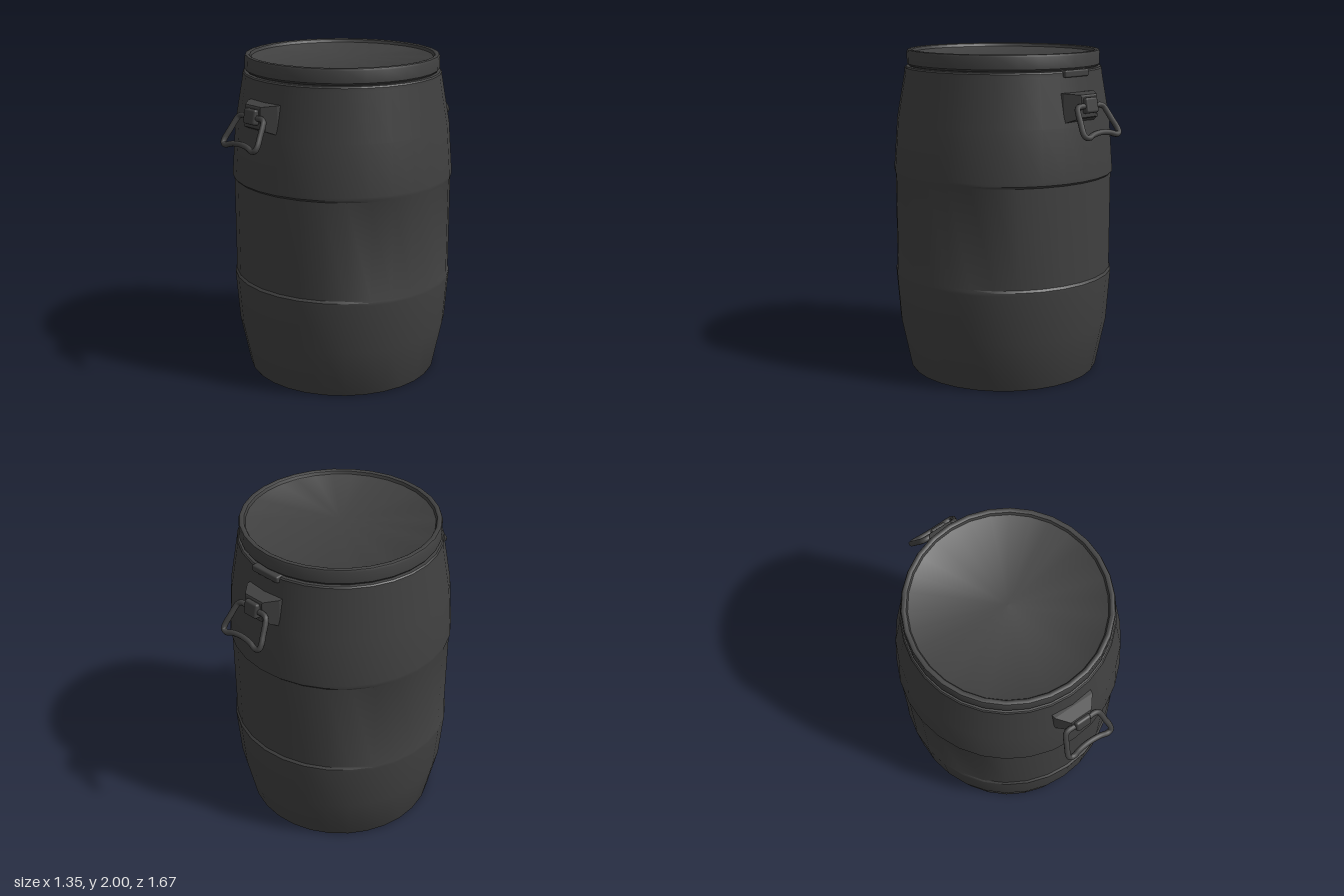
import * as THREE from 'three';
import { toCreasedNormals } from 'three/addons/utils/BufferGeometryUtils.js';
import { RoundedBoxGeometry } from 'three/addons/geometries/RoundedBoxGeometry.js';
import { ConvexGeometry } from 'three/addons/geometries/ConvexGeometry.js';

const SIDES = 30;
const material = new THREE.MeshStandardMaterial({ color: 0x404040 });

function part(name, geometry, parent) {
  const mesh = new THREE.Mesh(geometry, material);
  mesh.name = name;
  parent.add(mesh);
  return mesh;
}

// profile is a list of [radius, height] from bottom to top
function turned(profile) {
  return new THREE.LatheGeometry(profile.map(([r, y]) => new THREE.Vector2(r, y)), SIDES);
}

function bodyGeometry() {
  const geometry = turned([
    [0, 0], [0.59, 0], [0.595, 0.01], [0.657, 0.31], [0.68, 0.615], [0.68, 0.632],
    [0.677, 0.645], [0.677, 1.245], [0.68, 1.258], [0.68, 1.275],
    [0.657, 1.58], [0.607, 1.865], [0.605, 1.89], [0.598, 1.898], [0.58, 1.9], [0.58, 1.925],
  ]);
  // The middle band is slightly flattened front to back
  const p = geometry.attributes.position;
  for (let i = 0; i < p.count; i++) {
    if (p.getY(i) > 0.64 && p.getY(i) < 1.25) p.setZ(i, p.getZ(i) * 0.984);
  }
  return toCreasedNormals(geometry, 0.5);
}

// Tapered block that widens towards the barrel wall
function mountGeometry() {
  const corners = [];
  for (const [x, bottom, top, z] of [
    [0.135, 1.605, 1.777, 0.57], [0.128, 1.605, 1.777, 0.632],
    [0.07, 1.635, 1.77, 0.703], [0.065, 1.64, 1.762, 0.707],
  ]) {
    for (const s of [-1, 1]) {
      corners.push(new THREE.Vector3(s * x, bottom, z), new THREE.Vector3(s * x, top, z));
    }
  }
  return new ConvexGeometry(corners);
}

// Loop with a wide, inward-curved grip, drawn in its own plane from the hinge down
function loopGeometry() {
  const half = [[0.04, 0], [0.09, 0], [0.112, -0.012], [0.122, -0.04], [0.135, -0.1],
    [0.148, -0.16], [0.143, -0.186], [0.118, -0.194], [0.07, -0.178]];
  const points = [
    ...half, [0, -0.17],
    ...half.slice().reverse().map(([x, y]) => [-x, y]),
  ].map(([x, y]) => new THREE.Vector3(x, y, 0));
  const curve = new THREE.CatmullRomCurve3(points, true, 'centripetal');
  return new THREE.TubeGeometry(curve, 72, 0.017, 8, true);
}

function handle() {
  const group = new THREE.Group();
  group.name = 'handle';
  part('handleMount', mountGeometry(), group);

  // Raised lip under the hinge
  part('mountLip', new RoundedBoxGeometry(0.17, 0.025, 0.03, 2, 0.008), group)
    .position.set(0, 1.645, 0.69);

  const hinge = part('handleHinge', new RoundedBoxGeometry(0.1, 0.09, 0.05, 2, 0.014), group);
  hinge.position.set(0, 1.708, 0.715);
  hinge.rotation.x = -0.2;

  const loop = part('handleLoop', loopGeometry(), group);
  loop.position.set(0, 1.705, 0.715);
  loop.rotation.x = -0.56;
  return group;
}

export function createModel() {
  const barrel = new THREE.Group();
  barrel.name = 'barrel';

  part('body', bodyGeometry(), barrel);

  // Lid with a raised rim around a flat, sunken top
  part('lid', toCreasedNormals(turned([
    [0.57, 1.905], [0.585, 1.905], [0.592, 1.915], [0.592, 1.985], [0.587, 1.997], [0.578, 2],
    [0.568, 2], [0.56, 1.995], [0.553, 1.978], [0.548, 1.975], [0, 1.975],
  ]), 0.6), barrel);

  // Clasp on the back of the neck
  part('clasp', new RoundedBoxGeometry(0.2, 0.042, 0.06, 2, 0.01), barrel)
    .position.set(0, 1.885, -0.587);

  // One handle at the front, one at the back
  for (const angle of [0, Math.PI]) {
    const h = handle();
    h.name = angle ? 'backHandle' : 'frontHandle';
    h.rotation.y = angle;
    barrel.add(h);
  }
  return barrel;
}
